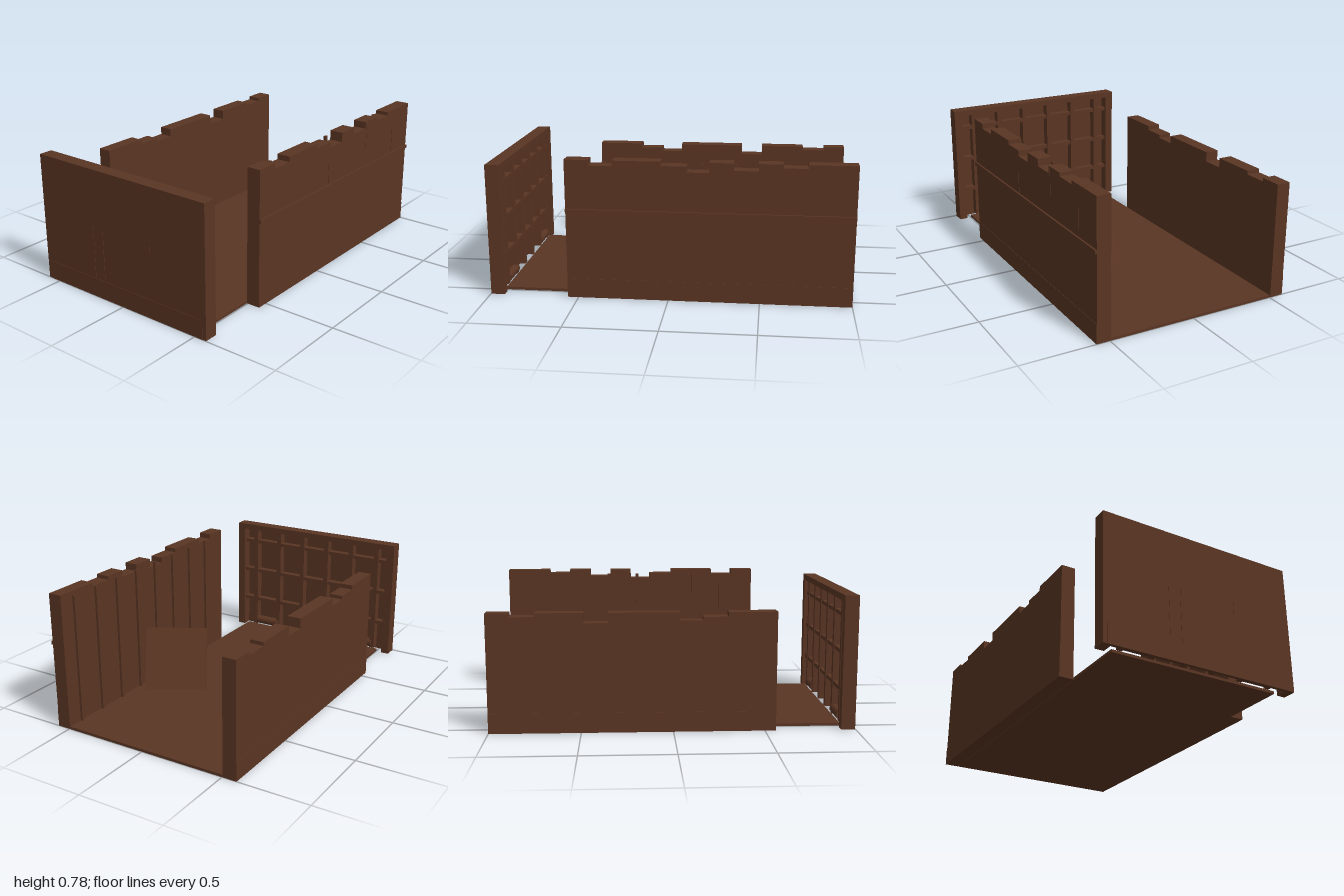
import * as THREE from 'three';

export function createModel() {
  const model = new THREE.Group();
  const wood = new THREE.MeshStandardMaterial({ color: 0x5a3523 });
  wood.name = 'brown wood';

  const add = (name, geometry, parent = model) => {
    const mesh = new THREE.Mesh(geometry, wood);
    mesh.name = name;
    parent.add(mesh);
    return mesh;
  };
  // Box given by its lower and upper limits on each axis
  const box = (name, x0, x1, y0, y1, z0, z1, parent) => {
    const g = new THREE.BoxGeometry(x1 - x0, y1 - y0, z1 - z0);
    g.translate((x0 + x1) / 2, (y0 + y1) / 2, (z0 + z1) / 2);
    return add(name, g, parent);
  };
  const group = (name) => {
    const g = new THREE.Group();
    g.name = name;
    model.add(g);
    return g;
  };

  // Floor
  box('floor', -0.5, 0.495, 0, 0.015, -1, 0.93);

  // Side wall with a broken top edge; steps are [z where the step ends, height]
  const wall = (name, outerX, thickness, steps, parent) => {
    const shape = new THREE.Shape();
    shape.moveTo(-1, 0);
    shape.lineTo(0.56, 0);
    let z = 0.56;
    for (const [end, height] of steps) {
      shape.lineTo(z, height);
      shape.lineTo(end, height);
      z = end;
    }
    const g = new THREE.ExtrudeGeometry(shape, { depth: thickness, bevelEnabled: false });
    g.rotateY(-Math.PI / 2);
    g.translate(outerX, 0, 0);
    return add(name, g, parent);
  };

  // Left wall, with inner studs and an outer rail
  const left = group('leftWall');
  wall('leftWallBoards', 0.574, 0.079, [
    [0.43, 0.78], [0.30, 0.75], [0.04, 0.78], [-0.10, 0.757], [-0.22, 0.725],
    [-0.35, 0.78], [-0.48, 0.74], [-0.61, 0.78], [-0.74, 0.76], [-1, 0.78],
  ], left);
  for (let i = 0; i < 8; i++) {
    const z = -0.9 + i * 0.18;
    box('wallStud', 0.481, 0.497, 0.015, 0.755, z - 0.009, z + 0.009, left);
  }
  box('outerRail', 0.573, 0.584, 0.487, 0.507, -1, 0.56, left);
  box('leftBaseBoard', 0.573, 0.576, 0, 0.11, -1, 0.56, left);
  for (const [z, y0, y1] of [[-0.09, 0.51, 0.63], [-0.495, 0.62, 0.77], [-0.81, 0.51, 0.66]]) {
    box('boardJoint', 0.573, 0.576, y0, y1, z - 0.003, z + 0.003, left);
  }

  // Right wall, lower and plain
  const right = group('rightWall');
  wall('rightWallBoards', -0.505, 0.079, [
    [0.295, 0.655], [0.16, 0.63], [0.035, 0.61], [-0.35, 0.655], [-0.48, 0.6],
    [-0.74, 0.655], [-0.875, 0.635], [-1, 0.655],
  ], right);
  box('rightBaseBoard', -0.586, -0.583, 0, 0.11, -1, 0.56, right);

  // Front wall: skin in front, open frame of studs and rails behind
  const front = group('frontWall');
  box('frontSkin', -0.585, 0.574, 0, 0.74, 0.98, 0.998, front);
  box('topCap', -0.585, 0.574, 0.705, 0.74, 0.92, 0.98, front);
  box('endPost', -0.585, -0.535, 0, 0.705, 0.92, 0.98, front);
  box('endPost', 0.524, 0.574, 0, 0.705, 0.92, 0.98, front);
  for (let i = 0; i < 6; i++) {
    const x = -0.46 + i * 0.18;
    box('frameStud', x - 0.015, x + 0.015, 0.015, 0.705, 0.932, 0.98, front);
  }
  for (const y of [0.2, 0.41, 0.62]) {
    box('frameRail', -0.535, 0.524, y - 0.011, y + 0.011, 0.936, 0.98, front);
  }
  box('frontBaseBoard', -0.56, 0.55, 0, 0.11, 0.997, 1, front);
  for (const [x, y0, y1] of [[-0.2, 0.11, 0.41], [-0.13, 0.11, 0.42], [0.208, 0.365, 0.45]]) {
    box('frontJoint', x - 0.003, x + 0.003, y0, y1, 0.997, 1, front);
  }

  // Short logs lying at the foot of the frame
  for (const x of [0.34, -0.37]) {
    const g = new THREE.CylinderGeometry(0.027, 0.027, 0.17, 12);
    g.rotateZ(Math.PI / 2);
    add('log', g, front).position.set(x, 0.045, 0.948);
  }

  // Loose square board, tilted
  const u = new THREE.Vector3(0.871, 0, -0.491).normalize();
  const v = new THREE.Vector3(0.195, 0.92, 0.35).normalize();
  const n = new THREE.Vector3().crossVectors(u, v).normalize();
  v.crossVectors(n, u);
  const board = add('looseBoard', new THREE.BoxGeometry(0.356, 0.36, 0.014));
  board.quaternion.setFromRotationMatrix(new THREE.Matrix4().makeBasis(u, v, n));
  board.position.set(0.232, 0.245, -0.345);

  return model;
}
